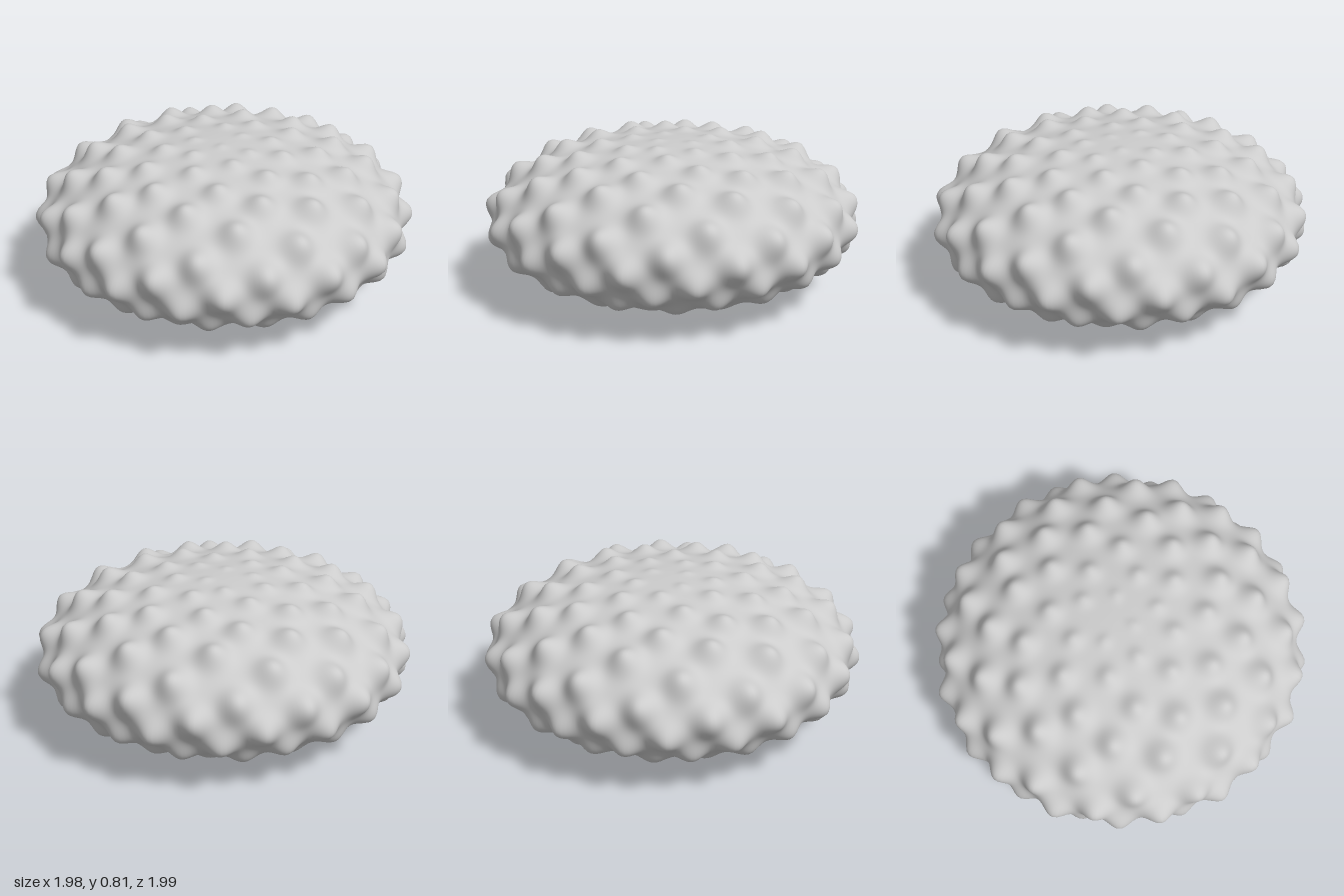
import * as THREE from 'three';
import { mergeVertices } from 'three/addons/utils/BufferGeometryUtils.js';

const R = 0.93, H = 0.4, BUMP = 0.068, HOLE = 0.125;
const rad = THREE.MathUtils.degToRad;

// Piecewise-linear lookup through [input, output] pairs
function lookup(points, t) {
  let i = 1;
  while (i < points.length - 1 && t > points[i][0]) i++;
  const [a, b] = [points[i - 1], points[i]];
  const k = THREE.MathUtils.clamp((t - a[0]) / (b[0] - a[0]), 0, 1);
  return a[1] + (b[1] - a[1]) * k;
}

// Point on the flattened shell: polar angle from the top, angle around y
function shellPoint(polar, around) {
  const r = R * Math.sin(polar);
  return new THREE.Vector3(r * Math.cos(around), H * Math.cos(polar), r * Math.sin(around));
}

// Knobs follow a golden-angle spiral from the top pole to the underside
function makeKnobs() {
  const rows = [[-3, 5], [0, 12], [6, 18.8], [15, 30.3], [22, 37.2], [28, 43], [36, 50], [43, 58.5],
    [55, 73], [68, 84], [76, 91], [84, 98.5], [97, 108], [110, 119], [122, 130], [140, 152]];
  const heights = [[0, 0.08], [10, 0.2], [20, 0.5], [32, 0.75], [48, 1], [95, 1], [119, 0.65], [135, 0.28], [153, 0]];
  const widths = [[0, 0.02], [10, 0.026], [20, 0.038], [37, 0.047], [50, 0.05], [180, 0.05]];
  const knobs = [];
  for (let i = -3; i <= 140; i++) {
    const polar = lookup(rows, i);
    knobs.push({
      center: shellPoint(rad(polar), rad(94.15 - 137.508 * i)),
      height: BUMP * lookup(heights, polar),
      width: lookup(widths, polar),
    });
  }
  return knobs;
}

export function createModel() {
  const group = new THREE.Group();
  group.name = 'urchinShell';

  // Flattened sphere, left open underneath for the mouth
  const polarEnd = Math.PI - Math.asin(HOLE / R);
  let geometry = new THREE.SphereGeometry(1, 300, 150, 0, Math.PI * 2, 0, polarEnd);
  geometry.deleteAttribute('normal');
  geometry.deleteAttribute('uv');
  geometry = mergeVertices(geometry, 1e-5);

  // Raise a soft rounded knob along the shell normal at each spiral point
  const knobs = makeKnobs();
  const pos = geometry.attributes.position;
  const p = new THREE.Vector3(), n = new THREE.Vector3();
  for (let i = 0; i < pos.count; i++) {
    p.fromBufferAttribute(pos, i);
    n.set(p.x / R, p.y / H, p.z / R).normalize();
    p.set(p.x * R, p.y * H, p.z * R);
    let lift = 0;
    for (const k of knobs) {
      const d2 = p.distanceToSquared(k.center);
      if (d2 < 0.04) lift += k.height * Math.exp(-d2 / (2 * k.width * k.width));
    }
    p.addScaledVector(n, lift);
    pos.setXYZ(i, p.x, p.y + H, p.z);
  }
  geometry.computeVertexNormals();

  const shell = new THREE.Mesh(geometry,
    new THREE.MeshStandardMaterial({ color: 0xcccccc, side: THREE.DoubleSide }));
  shell.name = 'knobbedShell';
  group.add(shell);
  return group;
}
